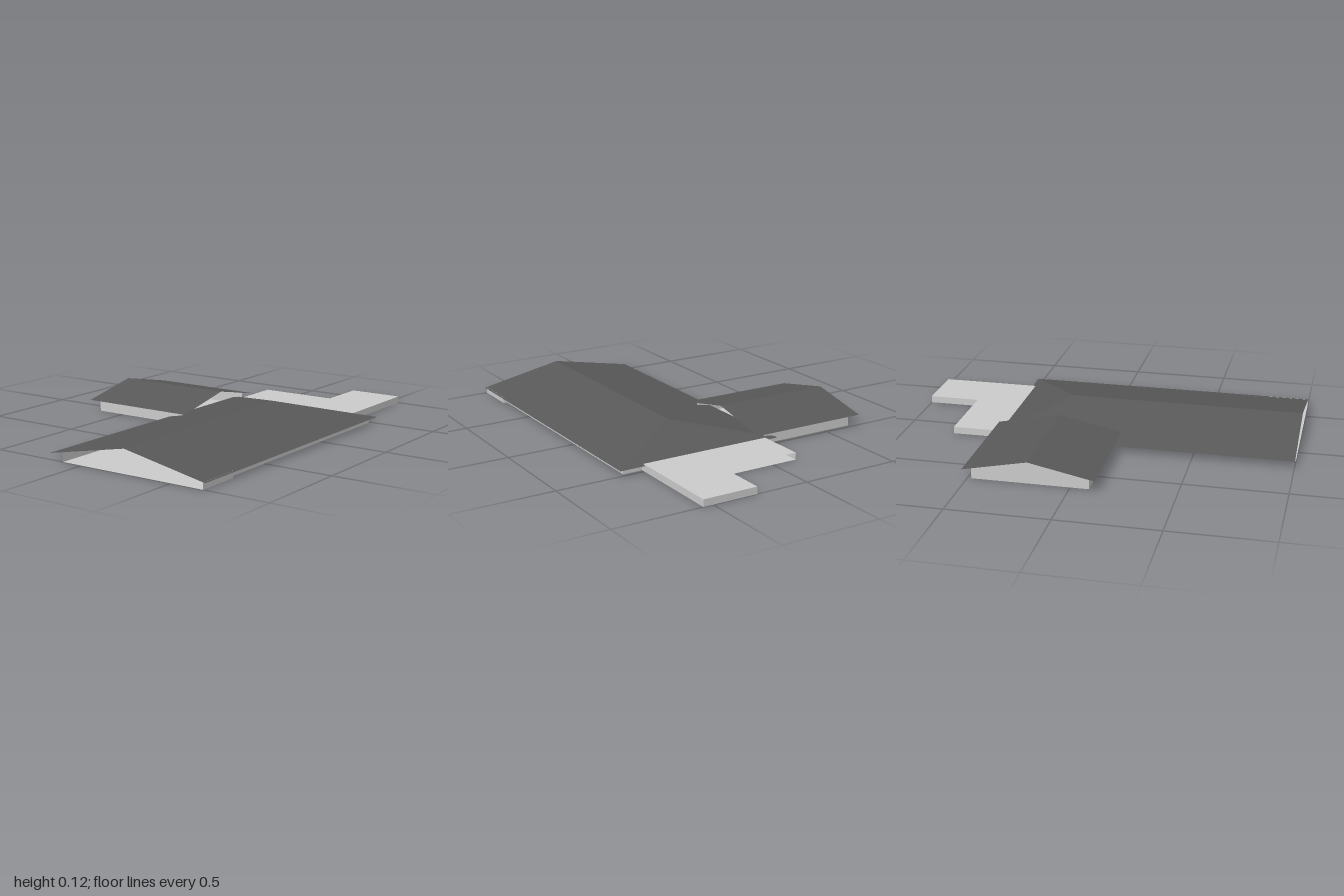
import * as THREE from 'three';

const wallMat = new THREE.MeshStandardMaterial({ color: 0xcccccc, side: THREE.DoubleSide, flatShading: true });
const roofMat = new THREE.MeshStandardMaterial({ color: 0x595959, side: THREE.DoubleSide, flatShading: true });

// Flat-faced thin surface: each face is a convex list of [x, y, z] corners.
function surface(name, faces, material) {
  const pos = [];
  for (const f of faces) {
    for (let i = 1; i < f.length - 1; i++) pos.push(...f[0], ...f[i], ...f[i + 1]);
  }
  const geo = new THREE.BufferGeometry();
  geo.setAttribute('position', new THREE.Float32BufferAttribute(pos, 3));
  geo.computeVertexNormals();
  const mesh = new THREE.Mesh(geo, material);
  mesh.name = name;
  return mesh;
}

// Upright walls along a plan path of [x, z] points.
function walls(name, path, height) {
  const faces = [];
  for (let i = 0; i < path.length - 1; i++) {
    const [ax, az] = path[i], [bx, bz] = path[i + 1];
    faces.push([[ax, 0, az], [ax, height, az], [bx, height, bz], [bx, 0, bz]]);
  }
  return surface(name, faces, wallMat);
}

// Horizontal slab surface from a plan outline, facing up or down.
function plane(name, outline, y, up) {
  const geo = new THREE.ShapeGeometry(new THREE.Shape(outline.map(([x, z]) => new THREE.Vector2(x, up ? -z : z))));
  geo.rotateX(up ? -Math.PI / 2 : Math.PI / 2);
  geo.translate(0, y, 0);
  const mesh = new THREE.Mesh(geo, wallMat);
  mesh.name = name;
  return mesh;
}

export function createModel() {
  const model = new THREE.Group();
  model.name = 'house';
  const H = 0.035, E = 0.06;

  // Ground floor under the hall, wing and terrace
  const outline = [
    [0.67, 1], [0.67, 0.78], [0.65, 0.78], [0.65, -0.48], [0.55, -0.48], [0.55, -1], [0.27, -1],
    [0.27, -0.74], [-0.13, -0.74], [-0.13, -0.48], [-0.65, -0.48], [-0.65, 0.09], [-0.11, 0.09], [-0.11, 1],
  ];
  model.add(plane('floor', outline, 0, false));

  // Raised terrace behind the hall, open along its inner rear edge
  model.add(plane('terraceTop',
    [[0.55, -0.46], [0.55, -1], [0.27, -1], [0.27, -0.74], [-0.13, -0.74], [-0.13, -0.46]], H, true));
  model.add(walls('terraceWalls', [[0.55, -0.48], [0.55, -1], [0.27, -1], [0.27, -0.74]], H));
  model.add(walls('terraceSideWall', [[-0.13, -0.74], [-0.13, -0.48]], H));

  // Hall walls, open at the front gable
  model.add(walls('hallRightWall', [[0.67, 1], [0.67, 0.78], [0.65, 0.78], [0.65, -0.48], [0.55, -0.48]], 0.033));
  model.add(walls('hallLeftWall', [[-0.11, 1], [-0.11, 0.09]], 0.04));

  // Wing walls and its end gable
  model.add(walls('wingWalls', [[-0.13, -0.48], [-0.65, -0.48], [-0.65, 0.09], [-0.11, 0.09]], E));
  model.add(surface('wingGable', [[[-0.65, E, -0.48], [-0.65, E, 0.09], [-0.65, 0.12, -0.195]]], wallMat));

  // Hall roof: gable at the front, hip at the back
  const x0 = -0.19, x1 = 0.68, y = 0.03, zb = -0.51;
  const ridgeF = [0.245, 0.115, 1], ridgeB = [0.245, 0.115, -0.2];
  model.add(surface('hallRoof', [
    [[x1, y, 1], [x1, y, zb], ridgeB, ridgeF],
    [[x0, y, zb], [x0, y, 1], ridgeF, ridgeB],
    [[x1, y, zb], [x0, y, zb], ridgeB],
  ], roofMat));

  // Wing roof: plain gable with its ridge across the house
  const wl = -0.69, wr = -0.07, top = 0.125, rz = -0.195;
  model.add(surface('wingRoof', [
    [[wl, E, 0.125], [wr, E, 0.125], [wr, top, rz], [wl, top, rz]],
    [[wr, E, -0.515], [wl, E, -0.515], [wl, top, rz], [wr, top, rz]],
  ], roofMat));

  return model;
}
